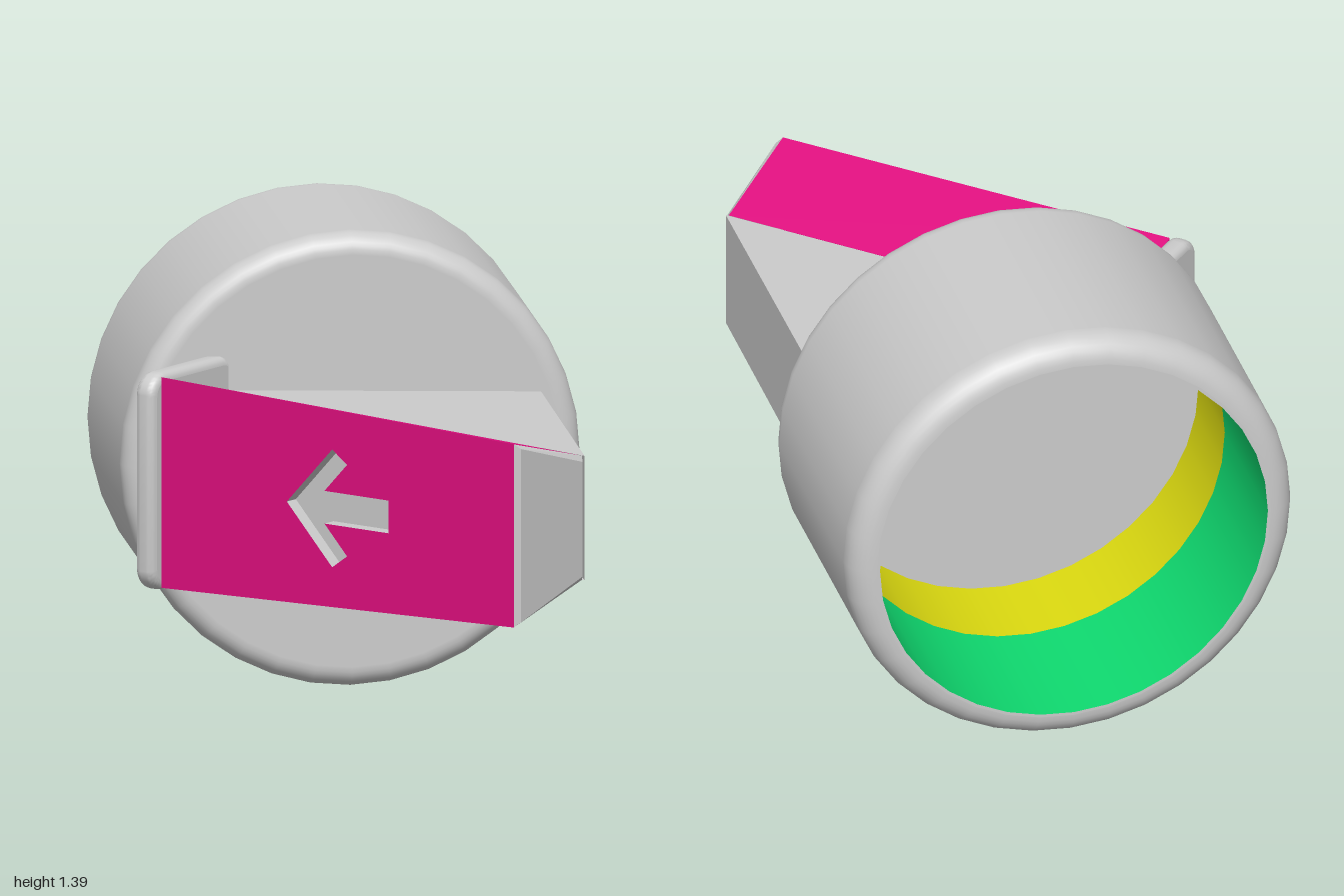
import * as THREE from 'three';
import { toCreasedNormals } from 'three/addons/utils/BufferGeometryUtils.js';

const MID = 0.7; // height of the symmetry plane
const mat = (color) => new THREE.MeshStandardMaterial({ color, side: THREE.DoubleSide });
const GREY = mat(0xcccccc), PINK = mat(0xe00e7f), GREEN = mat(0x0fdb70), YELLOW = mat(0xdddb10);

function add(group, name, geometry, material = GREY) {
  const mesh = new THREE.Mesh(geometry, material);
  mesh.name = name;
  group.add(mesh);
  return mesh;
}

// Flat-shaded geometry from four-cornered faces, corners counter-clockwise
function quads(...faces) {
  const p = [];
  for (const [a, b, c, d] of faces) p.push(...a, ...b, ...c, ...a, ...c, ...d);
  const g = new THREE.BufferGeometry();
  g.setAttribute('position', new THREE.Float32BufferAttribute(p, 3));
  g.computeVertexNormals();
  return g;
}

// Profile of [radius, z] turned about the z axis
const turned = (points) =>
  new THREE.LatheGeometry(points.map(([r, z]) => new THREE.Vector2(r, z)), 36).rotateX(Math.PI / 2);

// Quarter-round points on a profile
function fillet(cr, cz, r, from) {
  return Array.from({ length: 9 }, (_, i) => {
    const a = from + (i / 8) * Math.PI / 2;
    return [cr + r * Math.cos(a), cz + r * Math.sin(a)];
  });
}

// Arrow outline pointing to -x, tip at tipX
function arrow(tipX, s) {
  const half = [[0, 0], [0.17, -0.18], [0.226, -0.14], [0.141, -0.05], [0.382, -0.05]];
  const mirror = half.slice(1).reverse().map(([x, y]) => [x, -y]);
  return [...half, ...mirror].map(([x, y]) => new THREE.Vector2(tipX + x * s, y * s));
}

// Flat face at z = 0 with an arrow-shaped pocket sunk into it
function engravedFace(name, outline, points, depth, material) {
  const g = new THREE.Group();
  g.name = name;
  outline.holes.push(new THREE.Path(points));
  add(g, name + 'Surface', new THREE.ShapeGeometry(outline, 8), material);
  add(g, name + 'ArrowFloor', new THREE.ShapeGeometry(new THREE.Shape(points)).translate(0, 0, -depth));
  add(g, name + 'ArrowWalls', quads(...points.map((a, i) => {
    const b = points[(i + 1) % points.length];
    return [[b.x, b.y, 0], [a.x, a.y, 0], [a.x, a.y, -depth], [b.x, b.y, -depth]];
  })));
  return g;
}

function roundedRect(x0, y0, x1, y1, r) {
  const s = new THREE.Shape();
  s.absarc(x1 - r, y1 - r, r, 0, Math.PI / 2);
  s.absarc(x0 + r, y1 - r, r, Math.PI / 2, Math.PI);
  s.absarc(x0 + r, y0 + r, r, Math.PI, Math.PI * 1.5);
  s.absarc(x1 - r, y0 + r, r, Math.PI * 1.5, Math.PI * 2);
  return s;
}

// Round cap, open at the back
function makeCup() {
  const g = new THREE.Group();
  g.name = 'cup';
  g.position.y = MID;
  const R = 0.695, r = 0.605, back = -1, front = -0.17;
  add(g, 'cupShell', turned([
    [r, back], [0.614, back],
    ...fillet(R - 0.08, back + 0.08, 0.08, -Math.PI / 2),
    [R, back + 0.085], [R, front - 0.065],
    ...fillet(R - 0.06, front - 0.06, 0.06, 0),
    [R - 0.065, front], [0, front],
  ]));
  add(g, 'outerBore', turned([[r, -0.54], [r, back]]), GREEN);
  add(g, 'innerBore', turned([[r, -0.26], [r, -0.54]]), YELLOW);
  add(g, 'cupFloor', turned([[0, -0.26], [r, -0.26]]));
  return g;
}

// Tapered arm: x runs along it, z points out of its engraved face
function makeArm() {
  const g = new THREE.Group();
  g.name = 'arm';
  g.position.y = MID;
  g.rotation.y = -Math.PI / 4;
  const x0 = -0.385, x1 = 0.935, zi = 0.14, zo = 0.478;
  const outer = [0.322, 0.28], inner = [0.227, 0.19]; // half heights at both ends

  const face = new THREE.Shape([
    new THREE.Vector2(x0, -outer[0]), new THREE.Vector2(x1, -outer[1]),
    new THREE.Vector2(x1, outer[1]), new THREE.Vector2(x0, outer[0]),
  ]);
  const panel = engravedFace('armFace', face, arrow(0.084, 1), 0.045, PINK);
  panel.position.z = zo;
  g.add(panel);

  // Sloping upper and lower sides
  const side = (s) => [[x0, s * outer[0], zo], [x1, s * outer[1], zo], [x1, s * inner[1], zi], [x0, s * inner[0], zi]];
  add(g, 'armSides', quads(side(1), side(-1).reverse()), PINK);

  // Slightly chamfered end of the arm
  const ring = (x, d) => [
    [x, -outer[1] + d, zo - d], [x, -inner[1] + d, zi + d], [x, inner[1] - d, zi + d], [x, outer[1] - d, zo - d],
  ];
  const a = ring(x1, 0), b = ring(x1 + 0.015, 0.015);
  add(g, 'armEnd', quads(b, ...a.map((p, i) => [p, a[(i + 1) % 4], b[(i + 1) % 4], b[i]])));

  g.add(makePlate(x0));
  return g;
}

// Rounded plate across the wide end of the arm, with a smaller arrow on its back
function makePlate(x) {
  const g = new THREE.Group();
  g.name = 'endPlate';
  g.position.x = x;
  g.rotation.y = -Math.PI / 2;
  const b = 0.025, t = 0.07;
  const lid = () => roundedRect(0.1 + b, -0.332 + b, 0.525 - b, 0.332 - b, 0.07 - b);
  const solid = new THREE.ExtrudeGeometry(lid(), {
    depth: t - 2 * b, bevelSize: b, bevelThickness: b, bevelSegments: 5, curveSegments: 8,
  }).translate(0, 0, b);
  // Keep only the rounded rim, the lids are added separately
  const { start, count } = solid.groups[1];
  const rim = new THREE.BufferGeometry();
  rim.setAttribute('position', new THREE.BufferAttribute(
    solid.attributes.position.array.slice(start * 3, (start + count) * 3), 3));
  add(g, 'plateRim', toCreasedNormals(rim, 0.7));
  add(g, 'plateInside', new THREE.ShapeGeometry(lid(), 8).rotateY(Math.PI).scale(-1, 1, 1));
  const back = engravedFace('plateBack', lid(), arrow(0.28, 0.55), 0.03, GREY);
  back.position.z = t;
  g.add(back);
  return g;
}

// Wedge joining the arm to the cup
function makeWedge() {
  const top = [[-0.371, 0.227, -0.173], [-0.371, 0.227, -0.2], [0.57, 0.197, -0.2], [0.57, 0.19, 0.765]];
  const [a, b, c, d] = top;
  const [e, f, h, k] = top.map(([x, y, z]) => [x, -y, z]);
  return quads([a, d, c, b], [e, f, h, k], [k, h, c, d]);
}

export function createModel() {
  const model = new THREE.Group();
  model.name = 'angledCap';
  model.add(makeCup(), makeArm());
  add(model, 'wedge', makeWedge()).position.y = MID;
  return model;
}
